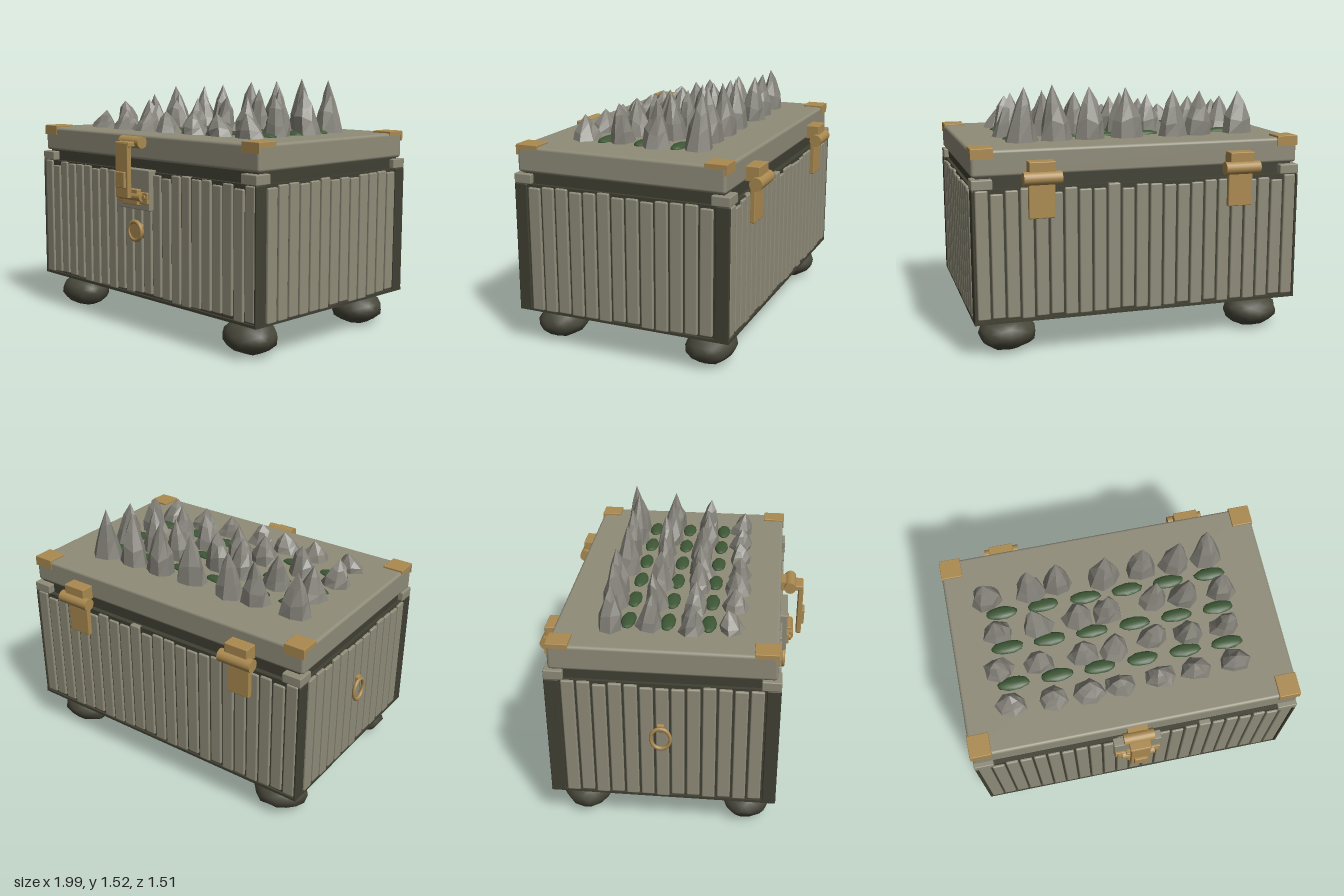
import * as THREE from 'three';
import { mergeVertices } from 'three/addons/utils/BufferGeometryUtils.js';
import { RoundedBoxGeometry } from 'three/addons/geometries/RoundedBoxGeometry.js';

const paint = (name, color, flat = false) => {
  const m = new THREE.MeshStandardMaterial({ color, flatShading: flat });
  m.name = name;
  return m;
};

// Repeatable noise in -1..1
const noise = (n) => {
  const s = Math.sin(n * 127.1 + 3.7) * 43758.5453;
  return (s - Math.floor(s)) * 2 - 1;
};

// Tapered rock spike: rings of jittered corners leaning to an off-centre tip
function spikeGeometry(seed, height, rx, rz) {
  const sides = 7, rings = 3;
  const g = new THREE.CylinderGeometry(0, 1, 1, sides, rings, true);
  const p = g.attributes.position;
  const radius = [0, 0.45, 0.8, 1];
  const leanX = noise(seed) * 0.02, leanZ = noise(seed + 5) * 0.02;
  for (let i = 0; i < p.count; i++) {
    const ring = Math.floor(i / (sides + 1)), side = i % (sides + 1) % sides;
    const a = side / sides * Math.PI * 2 + seed;
    const t = 1 - ring / rings;
    const k = seed * 13 + ring * 7 + side;
    const r = radius[ring] * (1 + 0.18 * noise(k));
    const wobble = ring === 1 || ring === 2 ? 0.09 * noise(k + 50) : 0;
    p.setXYZ(i, Math.sin(a) * r * rx + leanX * t, (t + wobble) * height, Math.cos(a) * r * rz + leanZ * t);
  }
  g.computeVertexNormals();
  return g;
}

// Lumpy boulder made from a jittered sphere
function boulderGeometry(seed, rx, ry, rz) {
  let g = new THREE.IcosahedronGeometry(1, 2);
  g.deleteAttribute('normal');
  g.deleteAttribute('uv');
  g = mergeVertices(g, 1e-4);
  const p = g.attributes.position;
  for (let i = 0; i < p.count; i++) {
    const s = 1 + 0.06 * noise(seed * 31 + i);
    p.setXYZ(i, p.getX(i) * s * rx, p.getY(i) * s * ry, p.getZ(i) * s * rz);
  }
  g.computeVertexNormals();
  return g;
}

export function createModel() {
  const stone = paint('paleStone', 0x8f8c79);
  const dark = paint('darkFrame', 0x414033);
  const foot = paint('footRock', 0x47473a);
  const brass = paint('brass', 0xab8a50);
  const spikeRock = paint('spikeRock', 0x85837a, true);
  const moss = paint('moss', 0x3d5735);

  const model = new THREE.Group();
  model.name = 'stoneChest';

  const add = (name, geo, mat, x = 0, y = 0, z = 0) => {
    const m = new THREE.Mesh(geo, mat);
    m.name = name;
    m.position.set(x, y, z);
    model.add(m);
    return m;
  };
  // Box given by its limits, with an optional softened edge
  const block = (name, mat, x0, x1, y0, y1, z0, z1, r = 0) => {
    const w = x1 - x0, h = y1 - y0, d = z1 - z0;
    const g = r ? new RoundedBoxGeometry(w, h, d, 2, r) : new THREE.BoxGeometry(w, h, d);
    return add(name, g, mat, (x0 + x1) / 2, (y0 + y1) / 2, (z0 + z1) / 2);
  };
  const rod = (name, mat, r, len, x, y, z, axis) => {
    const m = add(name, new THREE.CylinderGeometry(r, r, len, 20), mat, x, y, z);
    if (axis === 'x') m.rotation.z = Math.PI / 2;
    if (axis === 'z') m.rotation.x = Math.PI / 2;
    return m;
  };

  // Body frame
  block('bodyCore', dark, -0.955, 0.978, 0.22, 0.985, -0.665, 0.61);
  block('bottomTrim', dark, -0.968, 0.99, 0.22, 0.236, -0.678, 0.625);
  block('plinth', dark, -0.885, 0.91, 0.19, 0.225, -0.585, 0.535);
  block('upperRim', dark, -0.935, 0.96, 0.98, 1.052, -0.635, 0.585);
  for (const [x0, x1] of [[-0.968, -0.952], [0.974, 0.99]]) {
    block('cornerPost', dark, x0, x1, 0.22, 0.985, 0.55, 0.628, 0.006);
    block('cornerPost', dark, x0, x1, 0.22, 0.985, -0.678, -0.595, 0.006);
  }
  for (const [x0, x1] of [[-0.968, -0.85], [0.872, 0.99]]) {
    block('cornerCap', stone, x0, x1, 0.985, 1.042, 0.52, 0.628, 0.006);
    block('cornerCap', stone, x0, x1, 0.985, 1.042, -0.678, -0.57, 0.006);
  }

  // Planks along all four walls, each a little different in length
  for (let i = 0; i < 23; i++) {
    const x = -0.915 + i * 0.0841;
    for (const [j, z] of [[0, 0.606], [40, -0.661]]) {
      const low = 0.242 + 0.01 * noise(i + j), top = 0.97 + 0.018 * noise(i + j + 90);
      block('longWallPlank', stone, x - 0.036, x + 0.036, low, top, z - 0.018, z + 0.018, 0.008);
    }
  }
  for (let i = 0; i < 13; i++) {
    const z = 0.502 - i * 0.0873;
    for (const [j, x] of [[200, 0.976], [240, -0.953]]) {
      const low = 0.238 + 0.01 * noise(i + j), top = 0.973 + 0.012 * noise(i + j + 90);
      block('sideWallPlank', stone, x - 0.018, x + 0.018, low, top, z - 0.037, z + 0.037, 0.008);
    }
  }

  // Feet
  let seed = 1;
  for (const x of [-0.76, 0.78]) for (const z of [0.455, -0.5]) {
    add('foot', boulderGeometry(seed++, 0.168, 0.1, 0.145), foot, x, 0.107, z);
  }

  // Lid with brass corners
  block('lid', stone, -0.965, 0.985, 1.05, 1.2, -0.65, 0.605, 0.018);
  for (const [x0, x1] of [[-0.967, -0.84], [0.86, 0.987]]) {
    for (const [z0, z1] of [[-0.655, -0.53], [0.475, 0.61]]) {
      block('lidCornerTop', brass, x0, x1, 1.19, 1.212, z0, z1, 0.004);
      const zf = z0 < 0 ? z0 : z1 - 0.012;
      block('lidCornerFace', brass, x0, x1, 1.152, 1.205, zf, zf + 0.012);
      const xf = x0 < 0 ? x0 : x1 - 0.012;
      block('lidCornerSide', brass, xf, xf + 0.012, 1.185, 1.205, z0, z1);
    }
  }

  // Spikes grow taller towards the back and slightly towards the left
  const rows = [
    [0.34, 0.13, [-0.68, -0.44, -0.22, -0.04, 0.21, 0.42, 0.65]],
    [0.11, 0.2, [-0.71, -0.48, -0.21, -0.03, 0.21, 0.42, 0.65]],
    [-0.12, 0.245, [-0.68, -0.45, -0.2, -0.03, 0.26, 0.45, 0.68]],
    [-0.35, 0.295, [-0.72, -0.45, -0.27, 0, 0.23, 0.44, 0.65]],
  ];
  rows.forEach(([z, h, xs], r) => xs.forEach((x, i) => {
    const s = r * 7 + i + 1;
    const height = h * (0.87 + 0.04 * i + 0.04 * noise(s));
    add('spike', spikeGeometry(s, height, 0.094, 0.076), spikeRock, x, 1.198, z + 0.012 * noise(s + 9));
  }));

  // Moss tufts between the spike rows
  for (const z of [-0.245, -0.02, 0.21]) for (let i = 0; i < 6; i++) {
    const g = boulderGeometry(seed++, 0.095, 0.022, 0.042);
    add('mossTuft', g, moss, -0.645 + i * 0.257, 1.2, z);
  }

  // Front latch
  block('latchBacking', stone, -0.135, 0.155, 0.76, 1.0, 0.6, 0.655, 0.006);
  rod('latchHingeRod', brass, 0.035, 0.18, 0.01, 1.16, 0.66, 'x');
  block('latchMount', brass, -0.05, 0.07, 1.13, 1.185, 0.6, 0.65);
  block('latchArm', brass, -0.055, 0.07, 1.135, 1.165, 0.66, 0.74, 0.006);
  block('latchStrap', brass, -0.05, 0.065, 0.835, 1.16, 0.712, 0.742, 0.006);
  block('latchBump', brass, -0.032, 0.048, 0.895, 0.99, 0.735, 0.757, 0.005);
  block('latchFoot', brass, -0.13, 0.15, 0.8, 0.87, 0.65, 0.668, 0.005);
  rod('latchBar', brass, 0.027, 0.2, 0.01, 0.84, 0.668, 'x');
  block('latchCatch', brass, -0.065, 0.08, 0.79, 0.885, 0.65, 0.685, 0.006);
  for (const x of [-0.105, 0.125]) rod('latchRivet', brass, 0.014, 0.012, x, 0.84, 0.672, 'z');

  // Round lock below the latch
  rod('lockDisc', brass, 0.055, 0.04, 0.01, 0.627, 0.63, 'z');
  add('lockRim', new THREE.TorusGeometry(0.055, 0.013, 10, 28), brass, 0.01, 0.627, 0.643);

  // Back hinges
  for (const x of [-0.583, 0.603]) {
    block('hingeBlock', brass, x - 0.075, x + 0.075, 1.05, 1.137, -0.73, -0.64, 0.005);
    rod('hingeBarrel', brass, 0.038, 0.216, x, 1.045, -0.718, 'x');
    block('hingeStrap', brass, x - 0.075, x + 0.075, 0.815, 1.04, -0.706, -0.675, 0.006);
  }

  // Pull ring on the right wall
  const ring = add('pullRing', new THREE.TorusGeometry(0.06, 0.011, 10, 28), brass, -0.987, 0.645, -0.03);
  ring.rotation.y = Math.PI / 2;
  ring.scale.set(0.92, 1.1, 1);
  block('ringMount', brass, -0.99, -0.965, 0.69, 0.735, -0.05, -0.01, 0.005);

  return model;
}
